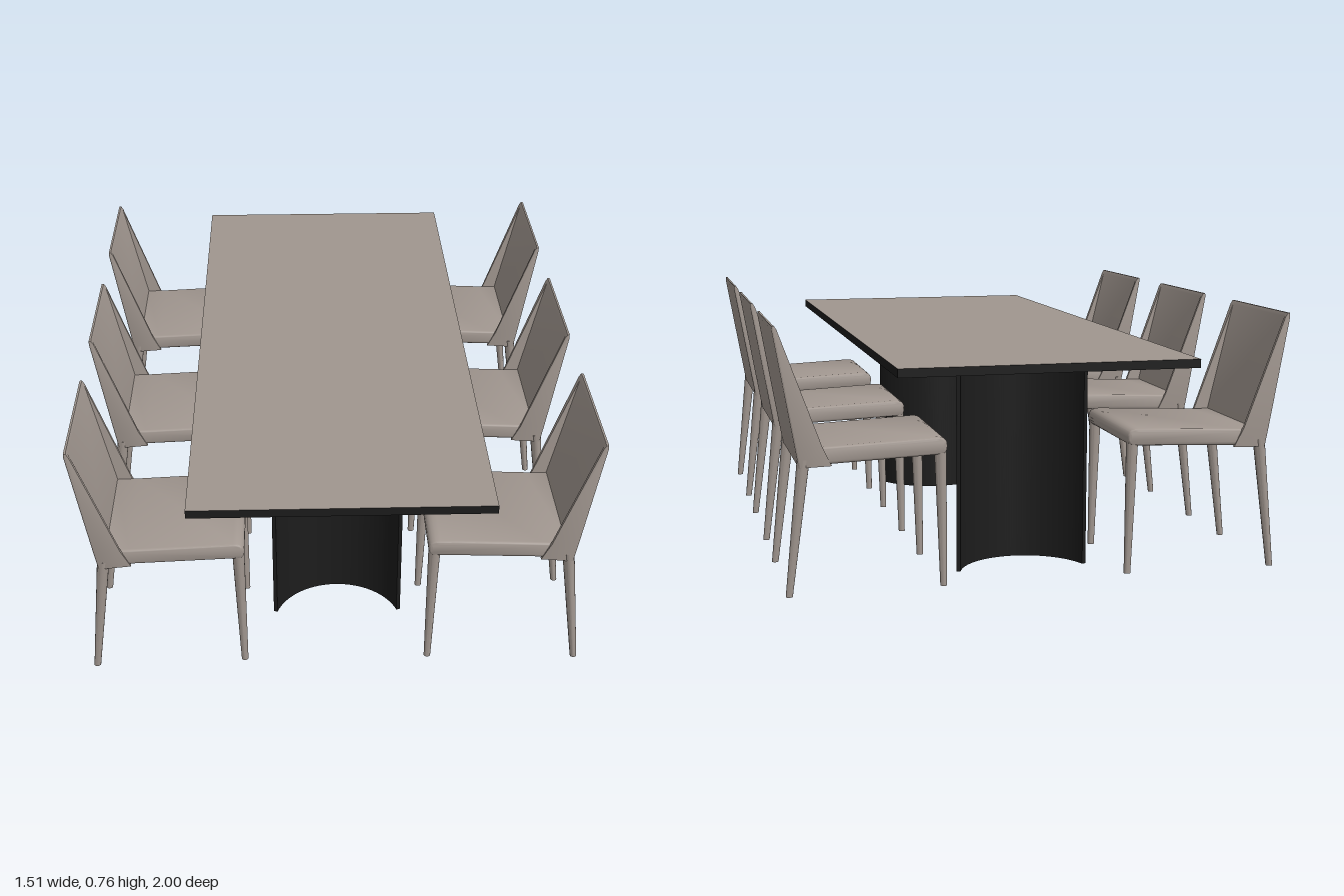
import * as THREE from 'three';
import { toCreasedNormals } from 'three/addons/utils/BufferGeometryUtils.js';

const taupe = new THREE.MeshStandardMaterial({ color: 0xa0968f });
taupe.name = 'taupe';
const black = new THREE.MeshStandardMaterial({ color: 0x1c1c1c });
black.name = 'black';

function addMesh(parent, name, geometry, material) {
  const mesh = new THREE.Mesh(geometry, material);
  mesh.name = name;
  parent.add(mesh);
  return mesh;
}

// Curved shell, bulging towards -z and open towards +z
function pedestalGeometry() {
  const radius = 0.21, wall = 0.012, half = 1.26;
  const a = Math.PI / 2 - half, b = Math.PI / 2 + half;
  const shape = new THREE.Shape();
  shape.absarc(0, 0, radius, a, b, false);
  shape.absarc(0, 0, radius - wall, b, a, true);
  const geo = new THREE.ExtrudeGeometry(shape, { depth: 0.634, bevelEnabled: false, curveSegments: 32 });
  geo.rotateX(-Math.PI / 2);
  return toCreasedNormals(geo, 0.5);
}

// Padded seat: side profile extruded across the width with soft edges
function seatGeometry() {
  const s = new THREE.Shape();
  s.moveTo(0.285, 0.385);
  s.lineTo(0.655, 0.37);
  s.lineTo(0.683, 0.372);
  s.lineTo(0.672, 0.42);
  s.lineTo(0.6, 0.422);
  s.lineTo(0.3, 0.436);
  s.quadraticCurveTo(0.267, 0.437, 0.267, 0.41);
  s.quadraticCurveTo(0.267, 0.386, 0.285, 0.385);
  const width = 0.385, bevel = 0.01;
  const geo = new THREE.ExtrudeGeometry(s, {
    depth: width - 2 * bevel, curveSegments: 5, bevelEnabled: true,
    bevelSize: bevel, bevelOffset: -bevel, bevelThickness: bevel, bevelSegments: 4,
  });
  geo.translate(0, 0, bevel - width / 2);
  return toCreasedNormals(geo, 0.7);
}

// Backrest: U-shaped sections whose side wings taper away towards the top
function backrestGeometry() {
  // height, wing tip x, inner panel x, outer back x, half width
  const levels = [
    [0.368, 0.597, 0.655, 0.69, 0.206],
    [0.425, 0.624, 0.668, 0.7, 0.208],
    [0.752, 0.743, 0.745, 0.757, 0.208],
    [0.763, 0.75, 0.751, 0.757, 0.205],
  ];
  const r = 0.004;
  const sections = levels.map(([y, tip, inner, outer, w], i) => {
    const tipW = w - 0.012 * (1 - i / 3);
    const side = [
      [outer, w - r], [outer - r * 0.3, w - r * 0.3], [outer - r, w],
      [tip, tipW], [tip, tipW - 0.01], [inner, w - 0.02],
    ];
    const mirrored = side.map(([x, z]) => [x, -z]).reverse();
    return [...side, ...mirrored].map(([x, z]) => new THREE.Vector3(x, y, z));
  });
  const n = sections[0].length;
  const index = [];
  for (let k = 0; k < sections.length - 1; k++) {
    for (let i = 0; i < n; i++) {
      const a = k * n + i, b = k * n + (i + 1) % n;
      index.push(a, a + n, b, b, a + n, b + n);
    }
  }
  // Bottom and top caps
  const cap = (section) => THREE.ShapeUtils.triangulateShape(
    section.map((p) => new THREE.Vector2(p.x, p.z)), []);
  const last = (sections.length - 1) * n;
  cap(sections[0]).forEach(([a, b, c]) => index.push(a, b, c));
  cap(sections[sections.length - 1]).forEach(([a, b, c]) => index.push(last + a, last + c, last + b));
  const geo = new THREE.BufferGeometry().setFromPoints(sections.flat());
  geo.setIndex(index);
  return toCreasedNormals(geo, 0.9);
}

// Slim tapered leg leaning from its top centre to its foot
function legGeometry(topX, topY, footX, z) {
  const geo = new THREE.CylinderGeometry(0.018, 0.01, topY, 16);
  geo.translate(0, topY / 2, 0);
  const p = geo.attributes.position;
  for (let i = 0; i < p.count; i++) {
    const t = p.getY(i) / topY;
    p.setX(i, p.getX(i) + footX + (topX - footX) * t);
    p.setZ(i, p.getZ(i) * 0.9 + z);
  }
  geo.computeVertexNormals();
  return toCreasedNormals(geo, 0.7);
}

function createChair(parts) {
  const chair = new THREE.Group();
  chair.name = 'chair';
  addMesh(chair, 'seat', parts.seat, taupe);
  addMesh(chair, 'backrest', parts.back, taupe);
  parts.frontLegs.forEach((g) => addMesh(chair, 'frontLeg', g, taupe));
  parts.rearLegs.forEach((g) => addMesh(chair, 'rearLeg', g, taupe));
  return chair;
}

export function createModel() {
  const model = new THREE.Group();
  model.name = 'diningSet';

  // Table: dark slab with a taupe upper face on two curved pedestals
  const table = new THREE.Group();
  table.name = 'table';
  table.position.x = 0.01;
  model.add(table);
  const top = addMesh(table, 'tableTop', new THREE.BoxGeometry(0.86, 0.025, 2),
    [black, black, taupe, black, black, black]);
  top.position.y = 0.645;
  const shell = pedestalGeometry();
  addMesh(table, 'frontPedestal', shell, black).position.z = 0.68;
  const rear = addMesh(table, 'rearPedestal', shell, black);
  rear.position.z = -0.75;
  rear.rotation.y = Math.PI;

  // Three chairs along each long side
  const parts = {
    seat: seatGeometry(),
    back: backrestGeometry(),
    frontLegs: [-1, 1].map((s) => legGeometry(0.286, 0.41, 0.277, s * 0.175)),
    rearLegs: [-1, 1].map((s) => legGeometry(0.676, 0.39, 0.722, s * 0.19)),
  };
  for (const z of [-0.642, 0.011, 0.665]) {
    for (const turn of [0, Math.PI]) {
      const chair = createChair(parts);
      chair.position.z = z;
      chair.rotation.y = turn;
      model.add(chair);
    }
  }
  return model;
}
